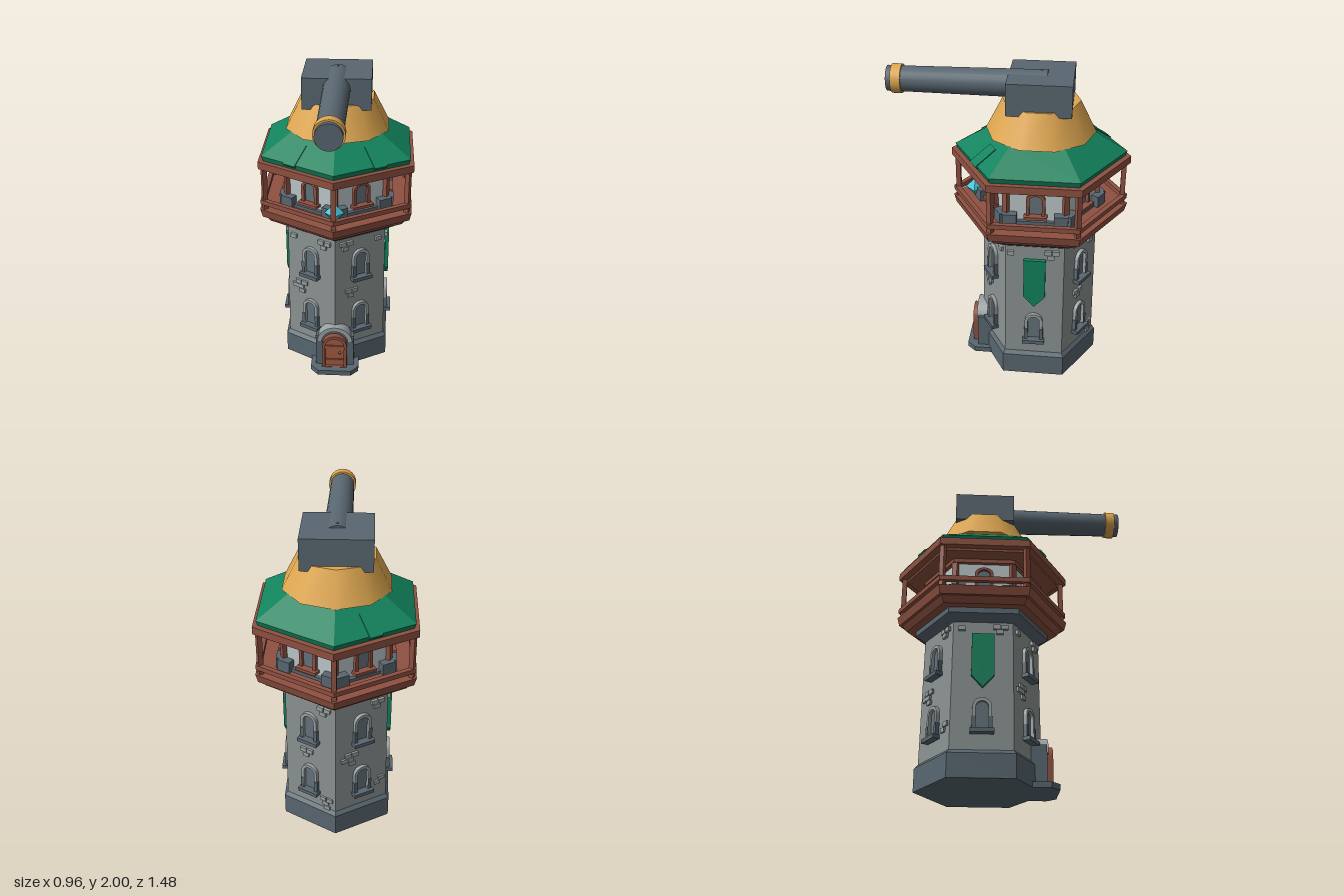
import * as THREE from 'three';

const mat = (name, color) => Object.assign(new THREE.MeshStandardMaterial({ color }), { name });
const M = {
  stone: mat('wall stone', 0x8c9392),
  trim: mat('light stone trim', 0x9ba2a3),
  slate: mat('dark slate', 0x596771),
  pane: mat('window pane', 0x64727b),
  wood: mat('red wood', 0x8f5141),
  door: mat('door wood', 0xa35a40),
  plaster: mat('pale plaster', 0xbcc7c9),
  green: mat('green', 0x12835d),
  gold: mat('gold', 0xdfa750),
  crystal: mat('crystal', 0x48c6d6),
};

const CZ = -0.185; // tower axis

function add(parent, name, geo, material, x = 0, y = 0, z = 0) {
  const m = new THREE.Mesh(geo, material);
  m.name = name;
  m.position.set(x, y, z);
  parent.add(m);
  return m;
}

const box = (w, h, d) => new THREE.BoxGeometry(w, h, d);

function flat(geo) {
  const g = geo.toNonIndexed();
  g.computeVertexNormals();
  return g;
}

// Faceted turned solid; six sides put corners at front and back.
const turned = (pts, sides = 6) =>
  flat(new THREE.LatheGeometry(pts.map(([r, y]) => new THREE.Vector2(r, y)), sides));

// Round-topped outline standing on y = 0.
function archPath(P, w, h) {
  const r = w / 2, p = new P();
  p.moveTo(-r, 0);
  p.lineTo(r, 0);
  p.lineTo(r, h - r);
  p.absarc(0, h - r, r, 0, Math.PI, false);
  p.lineTo(-r, 0);
  return p;
}

function arch(w, h, depth, hole) {
  const s = archPath(THREE.Shape, w, h);
  if (hole) {
    const r = hole / 2, t = (w - hole) / 2, top = h - t, p = new THREE.Path();
    p.moveTo(-r, 0.002);
    p.lineTo(-r, top - r);
    p.absarc(0, top - r, r, Math.PI, 0, true);
    p.lineTo(r, 0.002);
    p.lineTo(-r, 0.002);
    s.holes.push(p);
  }
  return new THREE.ExtrudeGeometry(s, { depth, bevelEnabled: false, curveSegments: 8 });
}

function archWindow(parent, y, z, frame, sill) {
  const g = new THREE.Group();
  g.name = 'window';
  g.position.set(0, y, z);
  add(g, 'windowFrame', arch(0.115, 0.2, 0.035, 0.075), frame, 0, 0.015, -0.01);
  add(g, 'windowPane', arch(0.08, 0.18, 0.015), M.pane, 0, 0.015, -0.01);
  add(g, 'windowSill', box(0.14, 0.025, 0.06), sill, 0, 0.01, 0.02);
  if (frame === M.trim) {
    for (const s of [-1, 1]) add(g, 'windowJamb', box(0.022, 0.08, 0.036), sill, s * 0.05, 0.06, 0.01);
  }
  parent.add(g);
  return g;
}

// Little group of raised bricks; n bricks in a staggered stack.
function bricks(parent, u, y, z, n) {
  const spots = [[0, 0], [0.03, 0.032], [-0.018, 0.032], [0.01, -0.032], [-0.044, 0]];
  for (let i = 0; i < n; i++) {
    add(parent, 'brick', box(0.042, 0.028, 0.024), M.trim, u + spots[i][0], y + spots[i][1], z);
  }
}

// Brick clusters for each wall: [across, height, count]
const BRICKS = {
  30: [[-0.11, 0.91, 3], [0.125, 0.93, 1], [-0.07, 0.55, 3]],
  90: [[0.1, 0.91, 3], [-0.15, 0.93, 1]],
  150: [[0.1, 0.91, 3], [-0.03, 0.55, 3], [0.115, 0.21, 4]],
  210: [[0.1, 0.91, 3], [-0.08, 0.56, 5], [0.115, 0.3, 2]],
  270: [[0.1, 0.91, 3], [-0.13, 0.93, 1]],
  330: [[0.1, 0.91, 3], [-0.08, 0.56, 5], [-0.13, 0.93, 1]],
};

function makeWall(deg) {
  const g = new THREE.Group();
  g.name = 'wallDetails';
  g.rotation.y = THREE.MathUtils.degToRad(deg);
  const side = deg % 180 === 90;
  archWindow(g, 0.265, 0.317, M.trim, M.slate);
  if (side) {
    const s = new THREE.Shape();
    [[-0.068, 0.89], [-0.068, 0.62], [0, 0.545], [0.068, 0.62], [0.068, 0.89]]
      .forEach(([x, y], i) => (i ? s.lineTo(x, y) : s.moveTo(x, y)));
    add(g, 'banner', new THREE.ExtrudeGeometry(s, { depth: 0.025, bevelEnabled: false }), M.green, 0, 0, 0.318);
  } else {
    archWindow(g, 0.665, 0.313, M.trim, M.slate);
  }
  for (const [u, y, n] of BRICKS[deg]) bricks(g, u, y, 0.32, n);
  // Lookout room
  const w = archWindow(g, 1.19, 0.308, M.wood, M.wood);
  w.scale.set(1, 0.75, 1);
  for (const s of [-1, 1]) add(g, 'cornerStone', box(0.085, 0.075, 0.07), M.slate, s * 0.155, 1.18, 0.325);
  return g;
}

function makeDoor() {
  const g = new THREE.Group();
  g.name = 'doorway';
  add(g, 'doorSurround', arch(0.2, 0.32, 0.21), M.slate);
  for (const s of [-1, 1]) add(g, 'doorPillar', box(0.05, 0.27, 0.2), M.slate, s * 0.102, 0.135, 0.11);
  const band = new THREE.Shape();
  band.absarc(0, 0, 0.118, 0, Math.PI, false);
  band.absarc(0, 0, 0.088, Math.PI, 0, true);
  add(g, 'doorArch', new THREE.ExtrudeGeometry(band, { depth: 0.075, bevelEnabled: false }), M.trim, 0, 0.222, 0.145);
  add(g, 'doorFrame', arch(0.165, 0.25, 0.045, 0.125), M.wood, 0, 0.04, 0.205);
  add(g, 'doorPanel', arch(0.126, 0.23, 0.025), M.door, 0, 0.04, 0.205);
  for (const y of [0.09, 0.2]) add(g, 'doorStrap', box(0.12, 0.014, 0.008), M.wood, 0, y, 0.233);
  add(g, 'doorKnob', new THREE.SphereGeometry(0.01, 8, 6), M.wood, 0.035, 0.15, 0.235);
  const step = new THREE.Shape();
  [[-0.16, 0], [-0.16, -0.23], [-0.11, -0.285], [0.11, -0.285], [0.16, -0.23], [0.16, 0]]
    .forEach(([x, y], i) => (i ? step.lineTo(x, y) : step.moveTo(x, y)));
  const stepGeo = new THREE.ExtrudeGeometry(step, { depth: 0.036, bevelEnabled: false }).rotateX(-Math.PI / 2);
  // shape -y becomes +z after the turn
  add(g, 'doorStep', stepGeo, M.slate);
  return g;
}

function makeCannon() {
  const g = new THREE.Group();
  g.name = 'cannon';
  const tube = (name, r0, r1, z0, z1, m) =>
    add(g, name, new THREE.CylinderGeometry(r1, r0, z1 - z0, 24).rotateX(Math.PI / 2), m, 0, 1.912, (z0 + z1) / 2);
  add(g, 'cannonHousing', box(0.42, 0.195, 0.385), M.slate, 0, 1.885, -0.183);
  tube('cannonBarrel', 0.086, 0.076, -0.22, 0.7, M.slate);
  tube('muzzleRing', 0.088, 0.088, 0.65, 0.71, M.gold);
  tube('muzzle', 0.077, 0.077, 0.7, 0.74, M.slate);
  add(g, 'finialTip', new THREE.OctahedronGeometry(0.016), M.wood, 0, 1.988, CZ);
  return g;
}

export function createModel() {
  const model = new THREE.Group();
  model.name = 'cannonTower';
  const tower = new THREE.Group();
  tower.name = 'tower';
  tower.position.z = CZ;
  model.add(tower);

  // Stone shaft
  add(tower, 'base', turned([[0, 0], [0.395, 0], [0.395, 0.145], [0.365, 0.175], [0, 0.175]]), M.slate);
  add(tower, 'shaft', turned([[0.372, 0.15], [0.362, 0.99]]), M.stone);
  add(tower, 'cornice', turned([[0.36, 0.975], [0.425, 1.015], [0.425, 1.06], [0, 1.06]]), M.slate);

  // Balcony and lookout room
  add(tower, 'balconyBase', turned([[0, 1.05], [0.485, 1.05], [0.515, 1.09], [0, 1.09]]), M.wood);
  add(tower, 'balconyFloor', turned([[0, 1.09], [0.535, 1.09], [0.55, 1.145], [0, 1.145]]), M.wood);
  add(tower, 'railing', turned([[0.51, 1.18], [0.545, 1.18], [0.545, 1.21], [0.51, 1.21], [0.51, 1.18]]), M.wood);
  add(tower, 'roomPlinth', turned([[0.385, 1.14], [0.385, 1.165], [0.3, 1.165]]), M.slate);
  add(tower, 'roomWall', turned([[0.357, 1.14], [0.357, 1.42]]), M.plaster);
  add(tower, 'roomCap', turned([[0.35, 1.385], [0.385, 1.385], [0.385, 1.42]]), M.wood);
  add(tower, 'eaves', turned([[0, 1.41], [0.5, 1.41], [0.5, 1.425], [0.553, 1.425], [0.553, 1.472], [0, 1.472]]), M.wood);

  for (let i = 0; i < 6; i++) {
    tower.add(makeWall(30 + i * 60));
    const a = (i * Math.PI) / 3, s = Math.sin(a), c = Math.cos(a);
    add(tower, 'balconyPost', box(0.03, 0.3, 0.03), M.wood, s * 0.515, 1.285, c * 0.515).rotation.y = a;
    add(tower, 'roomPillar', box(0.035, 0.27, 0.035), M.wood, s * 0.357, 1.28, c * 0.357).rotation.y = a;
  }
  add(tower, 'crystal', new THREE.OctahedronGeometry(0.062), M.crystal, 0, 1.205, 0.41);

  // Roof with raised patches
  add(tower, 'roof', turned([[0, 1.47], [0.515, 1.47], [0.528, 1.505], [0.31, 1.635], [0, 1.635]]), M.green);
  for (const [deg, u] of [[30, 0.05], [-30, -0.05], [210, 0.0]]) {
    const pivot = new THREE.Group();
    pivot.name = 'roofPatch';
    pivot.rotation.y = THREE.MathUtils.degToRad(deg);
    add(pivot, 'roofPlank', box(0.085, 0.02, 0.16), M.green, u, 1.54, 0.398).rotation.x = 0.6;
    tower.add(pivot);
  }

  // Gold turret
  add(tower, 'turret', new THREE.CylinderGeometry(0.235, 0.335, 0.195, 10), M.gold, 0, 1.7225, 0)
    .rotation.y = Math.PI;

  model.add(makeDoor(), makeCannon());
  return model;
}
